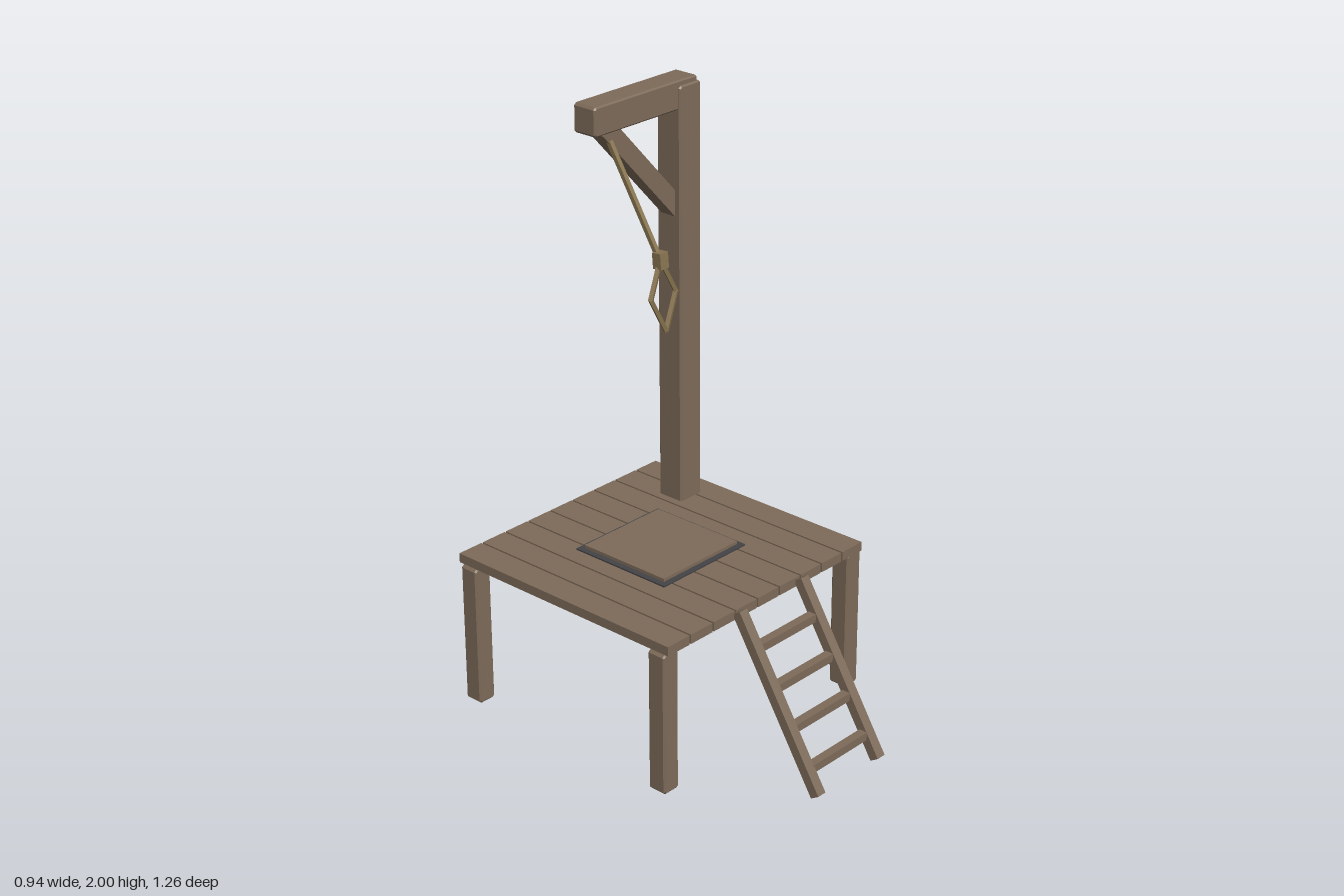
import * as THREE from 'three';

const wood = new THREE.MeshStandardMaterial({ color: 0x7d6b59 });
wood.name = 'wood';
const iron = new THREE.MeshStandardMaterial({ color: 0x444446 });
iron.name = 'dark iron';
const hemp = new THREE.MeshStandardMaterial({ color: 0x87734f });
hemp.name = 'hemp';

export function createModel() {
  const model = new THREE.Group();
  model.name = 'woodenScaffold';

  const add = (name, geometry, material, parent = model) => {
    const mesh = new THREE.Mesh(geometry, material);
    mesh.name = name;
    parent.add(mesh);
    return mesh;
  };
  const group = (name) => {
    const g = new THREE.Group();
    g.name = name;
    model.add(g);
    return g;
  };

  // Plain box given by its low and high corners
  const box = (name, [x0, y0, z0], [x1, y1, z1], material, parent) => {
    const mesh = add(name, new THREE.BoxGeometry(x1 - x0, y1 - y0, z1 - z0), material, parent);
    mesh.position.set((x0 + x1) / 2, (y0 + y1) / 2, (z0 + z1) / 2);
    return mesh;
  };

  // Timber with all edges chamfered, given by its low and high corners
  const timber = (name, [x0, y0, z0], [x1, y1, z1], parent, b = 0.005) => {
    const w = (x1 - x0) / 2 - b, h = (y1 - y0) / 2 - b;
    const shape = new THREE.Shape([
      [-w + b, -h], [w - b, -h], [w, -h + b], [w, h - b],
      [w - b, h], [-w + b, h], [-w, h - b], [-w, -h + b],
    ].map(([x, y]) => new THREE.Vector2(x, y)));
    const geometry = new THREE.ExtrudeGeometry(shape, {
      depth: z1 - z0 - 2 * b, bevelThickness: b, bevelSize: b, bevelSegments: 1,
    });
    geometry.center();
    const mesh = add(name, geometry, wood, parent);
    mesh.position.set((x0 + x1) / 2, (y0 + y1) / 2, (z0 + z1) / 2);
    return mesh;
  };

  // Square bar running between two points
  const bar = (name, a, b, width, depth, material, parent) => {
    const p = new THREE.Vector3(...a), q = new THREE.Vector3(...b);
    const mesh = add(name, new THREE.BoxGeometry(width, p.distanceTo(q), depth), material, parent);
    mesh.position.copy(p).add(q).multiplyScalar(0.5);
    mesh.quaternion.setFromUnitVectors(new THREE.Vector3(0, 1, 0), q.sub(p).normalize());
    return mesh;
  };

  // Deck planks with narrow gaps
  const deck = group('deck');
  for (let i = 0; i < 9; i++) {
    const x = (i - 4) * 0.1037 - 0.001;
    box('plank', [x - 0.0485, 0.509, -0.632], [x + 0.0485, 0.541, 0.279], wood, deck);
  }

  // Legs
  const legs = group('legs');
  for (const x of [-0.44, 0.438]) {
    for (const z of [-0.584, 0.236]) {
      timber('leg', [x - 0.033, 0.015, z - 0.033], [x + 0.033, 0.508, z + 0.033], legs);
    }
  }

  // Trapdoor: flat rim with a raised panel
  const trapdoor = group('trapdoor');
  const rim = new THREE.Shape();
  rim.moveTo(-0.195, -0.015).lineTo(0.191, -0.015).lineTo(0.191, 0.37).lineTo(-0.195, 0.37).closePath();
  const hole = new THREE.Path();
  hole.moveTo(-0.174, 0.006).lineTo(-0.174, 0.35).lineTo(0.172, 0.35).lineTo(0.172, 0.006).closePath();
  rim.holes.push(hole);
  const rimMesh = add('trapdoorRim', new THREE.ExtrudeGeometry(rim, { depth: 0.009, bevelEnabled: false }), iron, trapdoor);
  rimMesh.rotation.x = -Math.PI / 2;
  rimMesh.position.y = 0.537;
  box('trapdoorPanel', [-0.175, 0.535, -0.351], [0.173, 0.557, -0.005], wood, trapdoor);

  // Post, top beam and slanted brace
  timber('post', [0.288, 0.015, -0.452], [0.387, 1.982, -0.353]);
  timber('topBeam', [-0.086, 1.904, -0.45], [0.379, 2, -0.36]);
  const braceShape = new THREE.Shape();
  braceShape.moveTo(-0.035, 1.895).lineTo(0.3, 1.535).lineTo(0.3, 1.624).lineTo(0.034, 1.91).lineTo(-0.02, 1.91).closePath();
  const brace = add('brace', new THREE.ExtrudeGeometry(braceShape, { depth: 0.06, bevelEnabled: false }), wood);
  brace.position.z = -0.435;

  // Rope, swinging forward, with a knot and a diamond loop
  const rope = group('rope');
  bar('ropeLength', [0, 1.9, -0.4], [0, 1.54, -0.178], 0.015, 0.015, hemp, rope);
  const knot = add('knot', new THREE.BoxGeometry(0.036, 0.052, 0.034), hemp, rope);
  knot.position.set(0, 1.535, -0.172);
  knot.rotation.x = -0.08;
  for (const s of [-1, 1]) {
    bar('loopUpper', [s * 0.008, 1.52, -0.171], [s * 0.058, 1.418, -0.161], 0.013, 0.014, hemp, rope);
    bar('loopLower', [s * 0.058, 1.424, -0.161], [0, 1.306, -0.15], 0.013, 0.014, hemp, rope);
  }

  // Ladder leaning on the front edge
  const ladder = group('ladder');
  for (const s of [-1, 1]) {
    bar('ladderRail', [s * 0.147, 0.538, 0.288], [s * 0.147, 0.009, 0.615], 0.035, 0.034, wood, ladder);
  }
  for (let i = 0; i < 4; i++) {
    const y = 0.083 + i * 0.115, z = 0.568 - i * 0.0725;
    box('rung', [-0.132, y - 0.014, z - 0.015], [0.132, y + 0.014, z + 0.015], wood, ladder);
  }

  return model;
}
